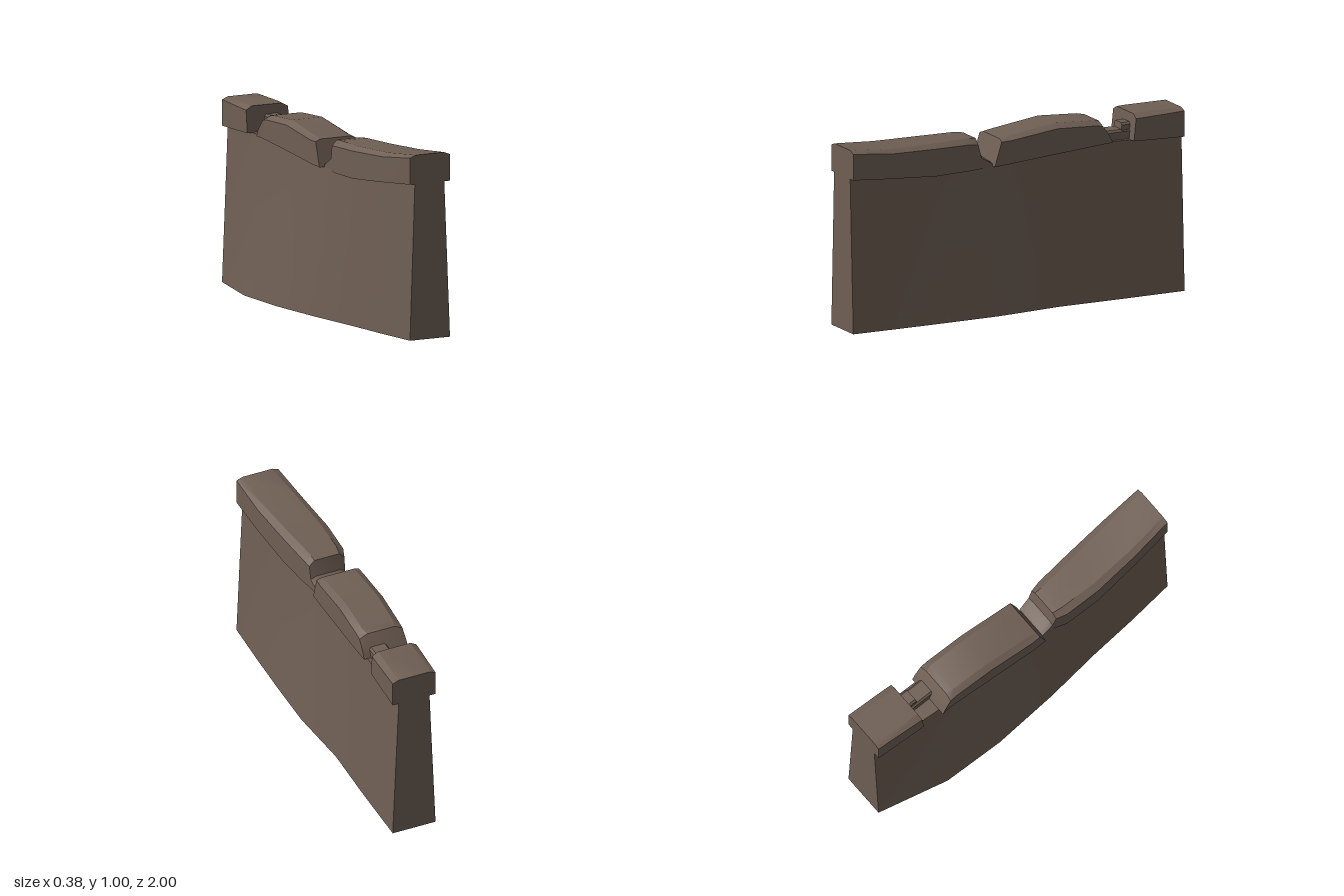
import * as THREE from 'three';
import { toCreasedNormals } from 'three/addons/utils/BufferGeometryUtils.js';

const stone = new THREE.MeshStandardMaterial({ color: 0x6f5f54, side: THREE.DoubleSide });
stone.name = 'brown stone';

// Skins cross-sections (counter-clockwise, running from front to back) and closes both ends.
function loft(rings, closed = true) {
  const n = rings[0].length, pos = [], idx = [];
  rings.forEach(r => r.forEach(p => pos.push(...p)));
  for (let k = 0; k < rings.length - 1; k++) {
    for (let i = 0; i < (closed ? n : n - 1); i++) {
      const j = (i + 1) % n, a = k * n, b = a + n;
      idx.push(a + i, b + i, b + j, a + i, b + j, a + j);
    }
  }
  const e = (rings.length - 1) * n;
  for (let i = 1; i < n - 1; i++) idx.push(0, i, i + 1, e, e + i + 1, e + i);
  const g = new THREE.BufferGeometry();
  g.setAttribute('position', new THREE.Float32BufferAttribute(pos, 3));
  g.setIndex(idx);
  return toCreasedNormals(g, 0.45);
}

// Wall section, open underneath: foot, waist and top on each side.
function wallRing([z, footL, footR, topL, topR, y, waist]) {
  const mid = (a, b) => a + (b - a) * waist;
  return [
    [footR, 0, z], [mid(footR, topR), 0.45, z], [topR, y, z],
    [topL, y, z], [mid(footL, topL), 0.45, z], [footL, 0, z],
  ];
}

// Coping section with worn top corners; rake tilts the section along z.
function copingRing([z, l, r, yb, yt, bevelX = 0.035, bevelY = 0.02, rake = 0]) {
  const pt = (x, y) => [x, y, z + rake * (y - yb) / (yt - yb)];
  return [
    pt(l, yb), pt(r, yb), pt(r, yt - bevelY),
    pt(r - bevelX, yt), pt(l + bevelX, yt), pt(l, yt - bevelY),
  ];
}

export function createModel() {
  const group = new THREE.Group();
  group.name = 'brokenWall';
  const add = (name, geometry) => {
    const mesh = new THREE.Mesh(geometry, stone);
    mesh.name = name;
    group.add(mesh);
    return mesh;
  };

  // Tapered, gently winding wall: z, foot left/right, top left/right, height, waist
  add('wallBody', loft([
    [1, -0.08, 0.165, -0.05, 0.13, 0.845, 0.54],
    [0.73, -0.108, 0.175, -0.08, 0.113, 0.82, 0.58],
    [0.45, -0.13, 0.182, -0.1, 0.1, 0.797, 0.62],
    [0.13, -0.165, 0.185, -0.1, 0.09, 0.8, 0.63],
    [-0.25, -0.19, 0.155, -0.09, 0.1, 0.832, 0.64],
    [-0.6, -0.18, 0.163, -0.08, 0.12, 0.857, 0.62],
    [-1, -0.085, 0.165, -0.05, 0.13, 0.845, 0.54],
  ].map(wallRing), false));

  // Front coping, sagging towards its broken end
  add('frontCoping', loft([
    [1, -0.08, 0.165, 0.843, 1, 0.035, 0.014],
    [0.75, -0.108, 0.155, 0.82, 0.977, 0.035, 0.02],
    [0.48, -0.13, 0.133, 0.797, 0.968, 0.04, 0.022],
    [0.27, -0.125, 0.112, 0.795, 0.966, 0.04, 0.027],
    [0.21, -0.105, 0.1, 0.795, 0.96, 0.03, 0.03],
    [0.19, -0.1, 0.1, 0.796, 0.87, 0.03, 0.015],
    [0.12, -0.1, 0.092, 0.799, 0.82, 0.03, 0.006],
  ].map(copingRing)));

  // Middle coping, with raked breaks at both ends
  add('middleCoping', loft([
    [0.12, -0.13, 0.118, 0.801, 0.945, 0.03, 0.012, -0.045],
    [0.04, -0.132, 0.122, 0.807, 0.955, 0.035, 0.02, -0.02],
    [-0.25, -0.12, 0.133, 0.832, 0.995, 0.035, 0.025],
    [-0.48, -0.11, 0.14, 0.85, 0.982, 0.035, 0.022],
    [-0.53, -0.11, 0.14, 0.854, 0.974, 0.045, 0.022, 0.01],
    [-0.58, -0.115, 0.14, 0.857, 0.915, 0.03, 0.02, 0.025],
  ].map(copingRing)));

  // Rear coping, clean at the wall's end
  add('rearCoping', loft([
    [-0.7, -0.102, 0.155, 0.853, 0.995, 0.035, 0.02, -0.015],
    [-0.76, -0.1, 0.158, 0.851, 0.997, 0.035, 0.02],
    [-1, -0.085, 0.165, 0.845, 1, 0.035, 0.014],
  ].map(copingRing)));

  // Stepped rubble left in the rear gap: front z, back z, left, right, top
  [
    [-0.54, -0.72, 0, 0.1, 0.91],
    [-0.65, -0.72, 0.01, 0.095, 0.945],
  ].forEach(([zf, zb, l, r, top], i) => {
    add('rubbleStep' + (i + 1), loft([
      [zf, l, r, 0.85, top, 0.01, 0.012, -0.01],
      [zb, l, r, 0.85, top, 0.01, 0.012],
    ].map(copingRing)));
  });

  return group;
}
